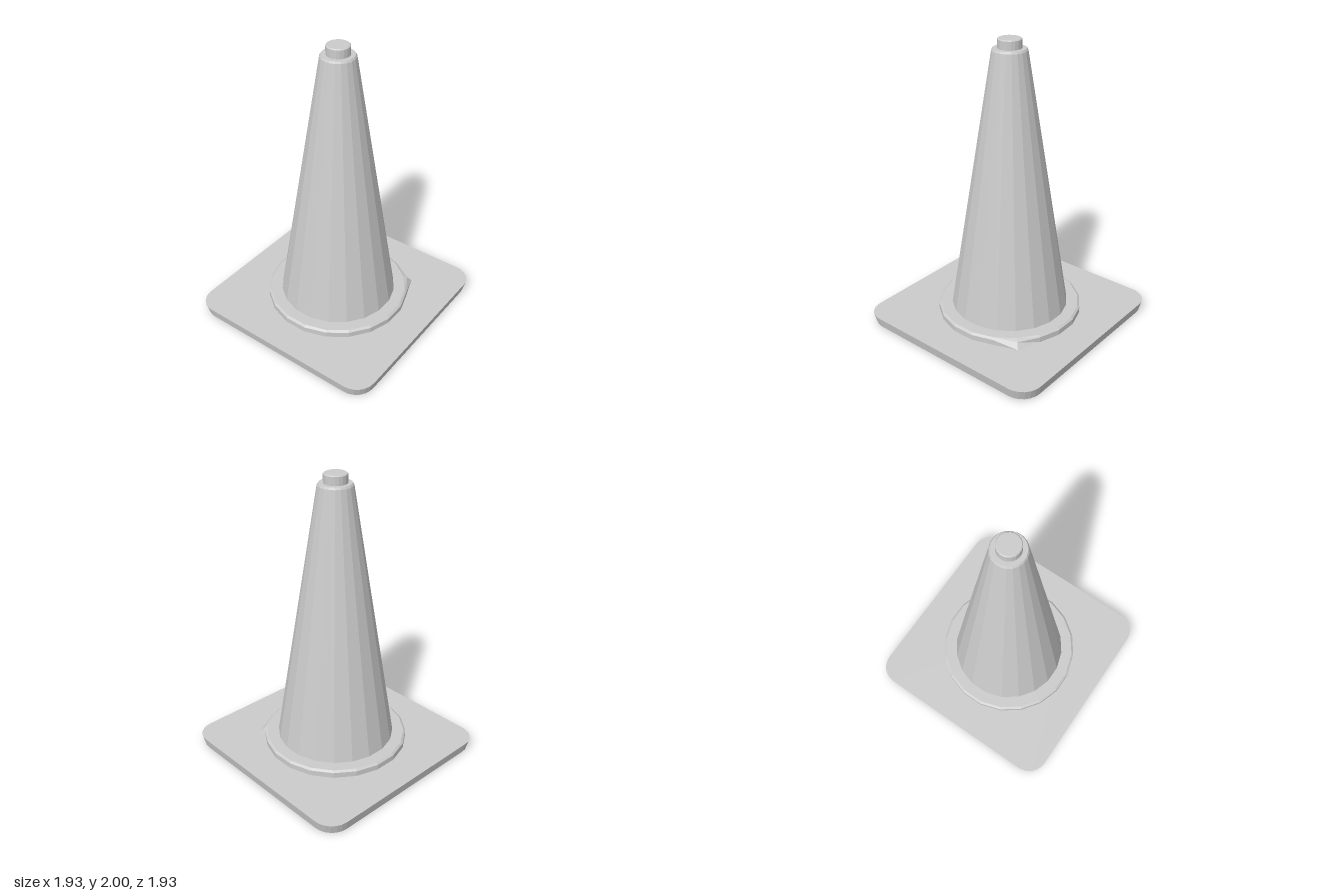
import * as THREE from 'three';

const SIDES = 20;
const material = new THREE.MeshStandardMaterial({ color: 0xcccccc, flatShading: true });

function addPart(group, name, geometry) {
  const mesh = new THREE.Mesh(geometry, material);
  mesh.name = name;
  group.add(mesh);
}

// Turned part from [radius, height] pairs
function turned(profile) {
  return new THREE.LatheGeometry(profile.map(([r, y]) => new THREE.Vector2(r, y)), SIDES);
}

function circlePoint(cx, cy, r, angle) {
  return new THREE.Vector2(cx + r * Math.cos(angle), cy + r * Math.sin(angle));
}

// Diamond-turned square plate with rounded corners, a round hole and tapered sides
function basePlate() {
  const height = 0.07, cornerRadius = 0.14, cornerCentre = 0.823, steps = 6;
  const outline = [], hole = [];
  for (let c = 0; c < 4; c++) {
    const a = c * Math.PI / 2;
    for (let i = 0; i <= steps; i++) {
      const turn = a + (i / steps - 0.5) * Math.PI / 2;
      outline.push(circlePoint(cornerCentre * Math.cos(a), cornerCentre * Math.sin(a), cornerRadius, turn));
    }
  }
  for (let i = 0; i < SIDES; i++) hole.push(circlePoint(0, 0, 0.41, -i / SIDES * Math.PI * 2));
  const shape = new THREE.Shape(outline);
  shape.holes.push(new THREE.Path(hole));
  const geometry = new THREE.ExtrudeGeometry(shape, { depth: height, bevelEnabled: false });
  geometry.rotateX(-Math.PI / 2);
  const p = geometry.attributes.position;
  for (let i = 0; i < p.count; i++) {
    const outer = Math.hypot(p.getX(i), p.getZ(i)) > 0.6;
    if (outer && p.getY(i) < height / 2) p.setXYZ(i, p.getX(i) * 0.98, p.getY(i), p.getZ(i) * 0.98);
  }
  return geometry;
}

// Raised ring whose +x corner is drawn out into a sloping tab
function collar() {
  const geometry = turned([[0.5, 0.07], [0.5, 0.108], [0.485, 0.12], [0.39, 0.12]]);
  const p = geometry.attributes.position;
  for (let i = 0; i < p.count; i++) {
    if (p.getX(i) > 0.495 && Math.abs(p.getZ(i)) < 0.01) p.setX(i, p.getY(i) < 0.09 ? 0.548 : 0.515);
  }
  return geometry;
}

export function createModel() {
  const group = new THREE.Group();
  group.name = 'trafficCone';
  addPart(group, 'basePlate', basePlate());
  addPart(group, 'collar', collar());
  addPart(group, 'coneBody', turned([[0.41, 0.1], [0.116, 1.925], [0.108, 1.938], [0.07, 1.938]]));
  // Hollow inside, open at the bottom
  addPart(group, 'coneInside', turned([[0, 1.91], [0.105, 1.91], [0.41, 0.07]]));
  addPart(group, 'topCap', turned([[0.078, 1.93], [0.078, 1.994], [0.072, 2], [0, 2]]));
  return group;
}
